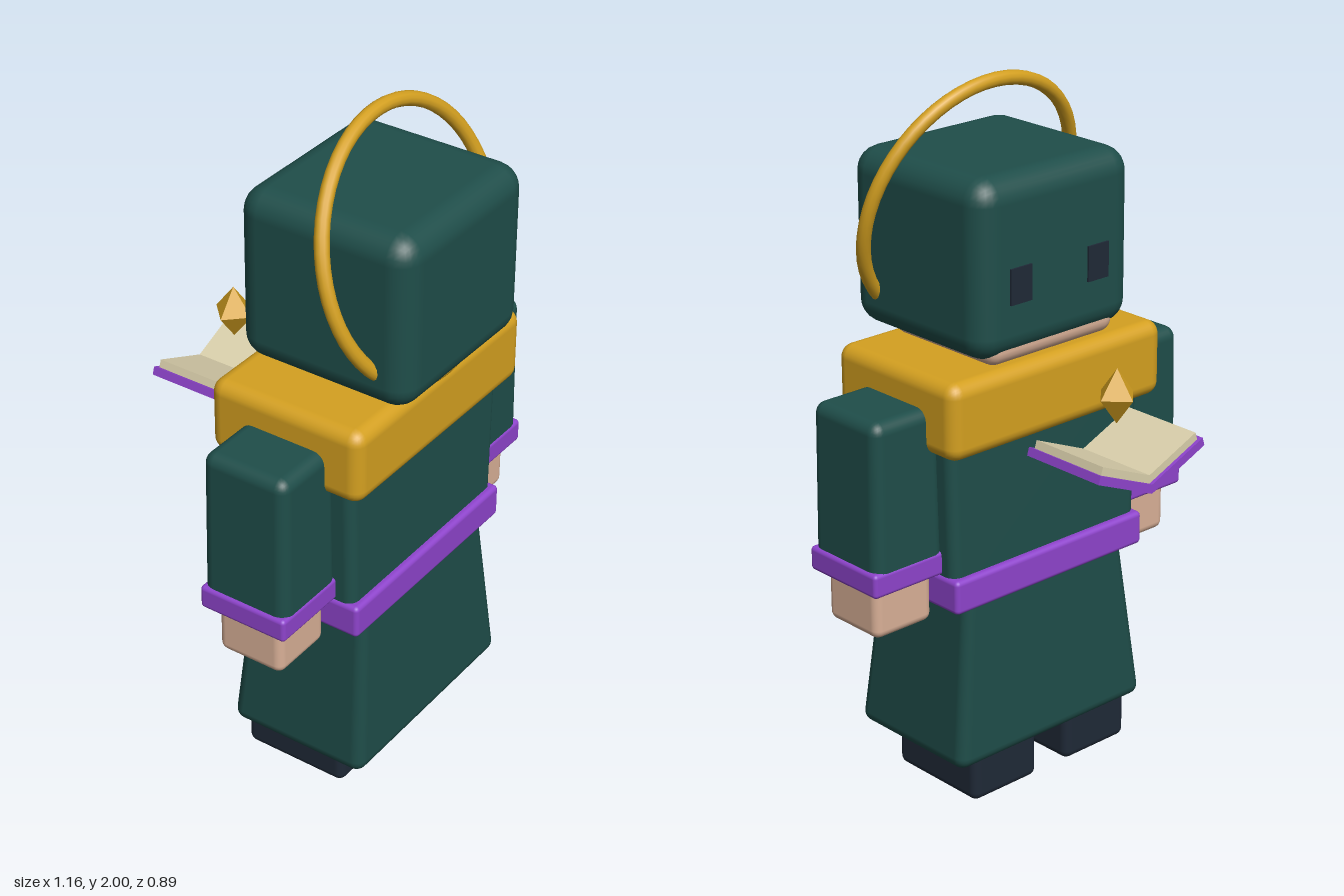
import * as THREE from 'three';
import { RoundedBoxGeometry } from 'three/addons/geometries/RoundedBoxGeometry.js';

const mat = (name, color, extra = {}) => {
  const m = new THREE.MeshStandardMaterial({ color, ...extra });
  m.name = name;
  return m;
};

export function createModel() {
  const model = new THREE.Group();
  const robe = mat('robe green', 0x1f4e4a);
  const gold = mat('gold', 0xd4a020);
  const purple = mat('purple trim', 0x8e44cc);
  const skin = mat('skin', 0xd9b097);
  const dark = mat('dark navy', 0x1f2937);
  const paper = mat('paper', 0xd9cfab);

  const add = (name, geo, material) => {
    const mesh = new THREE.Mesh(geo, material);
    mesh.name = name;
    model.add(mesh);
    return mesh;
  };

  // Rounded box from min/max extents; the top may be scaled in x and z for a taper
  const block = (name, material, [x0, x1], [y0, y1], [z0, z1], r, topX = 1, topZ = 1) => {
    const h = y1 - y0;
    const geo = new RoundedBoxGeometry(x1 - x0, h, z1 - z0, 3, r);
    const p = geo.attributes.position;
    for (let i = 0; i < p.count; i++) {
      const t = p.getY(i) / h + 0.5;
      p.setX(i, p.getX(i) * (1 + (topX - 1) * t));
      p.setZ(i, p.getZ(i) * (1 + (topZ - 1) * t));
    }
    const mesh = add(name, geo, material);
    mesh.position.set((x0 + x1) / 2, (y0 + y1) / 2, (z0 + z1) / 2);
    return mesh;
  };

  // Head, hood and eyes (the face looks toward -z)
  block('hood', robe, [-0.28, 0.28], [1.3, 1.8], [-0.09, 0.445], 0.07);
  block('face', skin, [-0.23, 0.23], [1.28, 1.7], [-0.075, 0.34], 0.04);
  for (const s of [-1, 1]) {
    const eye = add(s > 0 ? 'leftEye' : 'rightEye', new THREE.BoxGeometry(0.075, 0.1, 0.009), dark);
    eye.position.set(s * 0.14, 1.505, -0.091);
  }

  // Body and clothing
  block('mantle', gold, [-0.39, 0.39], [1.06, 1.28], [-0.1, 0.38], 0.04);
  block('torso', robe, [-0.343, 0.343], [0.62, 1.2], [-0.045, 0.332], 0.03, 1.04);
  block('belt', purple, [-0.352, 0.352], [0.6, 0.7], [-0.065, 0.352], 0.014);
  block('skirt', robe, [-0.355, 0.355], [0.12, 0.68], [-0.077, 0.367], 0.035, 0.81, 0.83);

  // Limbs, mirrored
  for (const s of [-1, 1]) {
    const side = s > 0 ? 'left' : 'right';
    const span = (a, b) => (s > 0 ? [a, b] : [-b, -a]);
    block(side + 'Sleeve', robe, span(0.33, 0.572), [0.7, 1.19], [0.005, 0.275], 0.035, 0.93, 0.98);
    block(side + 'Cuff', purple, span(0.32, 0.58), [0.7, 0.77], [0.003, 0.278], 0.012);
    block(side + 'Hand', skin, span(0.35, 0.55), [0.555, 0.72], [0.038, 0.245], 0.025);
    block(side + 'Shoe', dark, span(0.055, 0.295), [0, 0.17], [-0.065, 0.265], 0.025);
  }

  // Tilted halo
  const halo = add('halo', new THREE.TorusGeometry(0.363, 0.02, 12, 56), gold);
  halo.position.set(0, 1.635, 0.268);
  halo.rotation.x = -0.307;

  // Open book: V-shaped profiles extruded along z
  const vee = (name, material, right, z0, z1) => {
    const left = right.slice(1, -1).reverse().map(([x, y]) => [-x, y]);
    const shape = new THREE.Shape([...right, ...left].map(([x, y]) => new THREE.Vector2(x, y)));
    const geo = new THREE.ExtrudeGeometry(shape, { depth: z1 - z0, bevelEnabled: false });
    add(name, geo, material).position.z = z0;
  };
  vee('bookCover', purple, [[0, 0.98], [0.197, 1.063], [0.19, 1.086], [0, 1.006]], -0.445, -0.175);
  vee('bookPages', paper, [[0, 1.0], [0.181, 1.076], [0.172, 1.103], [0, 1.03]], -0.435, -0.185);

  // Floating gem
  const gem = add('gem', new THREE.OctahedronGeometry(0.06), gold);
  gem.scale.y = 1.3;
  gem.position.set(0, 1.218, -0.31);

  return model;
}
